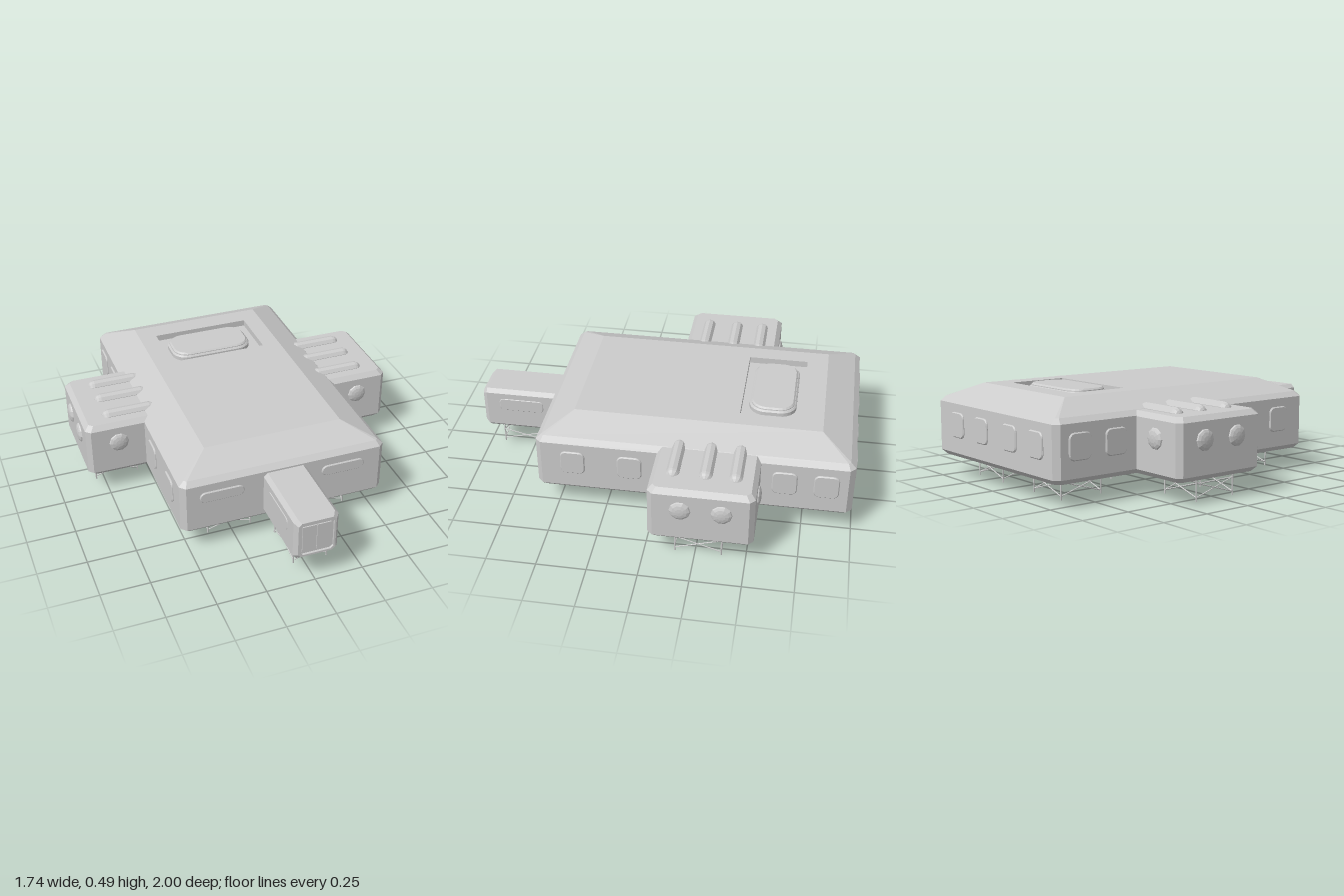
import * as THREE from 'three';

const mat = new THREE.MeshStandardMaterial({ color: 0xcccccc, flatShading: true, side: THREE.DoubleSide });

function add(parent, name, geometry, x = 0, y = 0, z = 0) {
  const mesh = new THREE.Mesh(geometry, mat);
  mesh.name = name;
  mesh.position.set(x, y, z);
  parent.add(mesh);
  return mesh;
}

// Stack of corner-cut rectangles; each ring is [y, halfWidth, halfDepth, cornerCut, centreZ]
function loft(rings) {
  const pos = [], index = [];
  for (const [y, w, d, c, cz = 0] of rings) {
    const pts = [[w, d - c], [w, c - d], [w - c, -d], [c - w, -d], [-w, c - d], [-w, d - c], [c - w, d], [w - c, d]];
    for (const [x, z] of pts) pos.push(x, y, z + cz);
  }
  const last = (rings.length - 1) * 8;
  for (let r = 0; r < last; r += 8) {
    for (let i = 0; i < 8; i++) {
      const a = r + i, b = r + (i + 1) % 8;
      index.push(a, b, b + 8, a, b + 8, a + 8);
    }
  }
  for (let i = 1; i < 7; i++) {
    index.push(0, i + 1, i, last, last + i, last + i + 1);
  }
  const g = new THREE.BufferGeometry();
  g.setAttribute('position', new THREE.Float32BufferAttribute(pos, 3));
  g.setIndex(index);
  const flat = g.toNonIndexed();
  flat.computeVertexNormals();
  return flat;
}

// Raised rounded panel facing +z, with a bevelled rim
function panel(w, h, r, depth, bevel) {
  const x = w / 2 - bevel, y = h / 2 - bevel;
  r = Math.min(r, x, y);
  const s = new THREE.Shape();
  s.absarc(x - r, y - r, r, 0, Math.PI / 2);
  s.absarc(r - x, y - r, r, Math.PI / 2, Math.PI);
  s.absarc(r - x, r - y, r, Math.PI, Math.PI * 1.5);
  s.absarc(x - r, r - y, r, Math.PI * 1.5, Math.PI * 2);
  return new THREE.ExtrudeGeometry(s, {
    depth: depth - bevel, bevelEnabled: true, bevelSize: bevel, bevelThickness: bevel, bevelSegments: 1, curveSegments: 3,
  });
}

// Thin bar between two points
function bar(parent, name, a, b, radius) {
  const p = new THREE.Vector3(...a), q = new THREE.Vector3(...b);
  const dir = q.clone().sub(p);
  const mesh = add(parent, name, new THREE.CylinderGeometry(radius, radius, dir.length(), 6));
  mesh.position.copy(p.add(q).multiplyScalar(0.5));
  mesh.quaternion.setFromUnitVectors(new THREE.Vector3(0, 1, 0), dir.normalize());
}

// Four posts with crossed braces on every side
function stand(parent, x, z, y0, y1, hx = 0.115, hz = 0.115) {
  const g = new THREE.Group();
  g.name = 'supportStand';
  g.position.set(x, 0, z);
  const corners = [[hx, hz], [hx, -hz], [-hx, -hz], [-hx, hz]];
  corners.forEach(([ax, az], i) => {
    const [bx, bz] = corners[(i + 1) % 4];
    const lo = y0 + 0.018, hi = y1 - 0.022;
    bar(g, 'standPost', [ax, y0, az], [ax, y1 + 0.005, az], 0.004);
    bar(g, 'standBrace', [ax, lo, az], [bx, hi, bz], 0.003);
    bar(g, 'standBrace', [ax, hi, az], [bx, lo, bz], 0.003);
  });
  parent.add(g);
}

function porthole(parent, x, y, z, turn) {
  const g = new THREE.SphereGeometry(0.053, 10, 4, 0, Math.PI * 2, 0, Math.PI / 2);
  g.rotateX(Math.PI / 2);
  g.scale(1, 1, 0.36);
  add(parent, 'porthole', g, x, y, z).rotation.y = turn;
}

export function createModel() {
  const root = new THREE.Group();
  root.name = 'stationModule';
  const quarter = Math.PI / 2;

  // Main hull with sloped roof and sunken skylight well
  add(root, 'mainHull', loft([
    [0.11, 0.515, 0.772, 0.02, -0.197],
    [0.135, 0.54, 0.797, 0.028, -0.197],
    [0.39, 0.54, 0.797, 0.028, -0.197],
    [0.415, 0.512, 0.77, 0.012, -0.197],
    [0.484, 0.363, 0.625, 0.001, -0.195],
    [0.484, 0.267, 0.155, 0.0005, -0.555],
    [0.45, 0.267, 0.155, 0.0005, -0.555],
  ]));

  // Skylight: stepped frame and lens
  add(root, 'skylightFrame', panel(0.45, 0.24, 0.075, 0.03, 0.008), -0.005, 0.448, -0.557).rotation.x = -quarter;
  add(root, 'skylightLens', panel(0.43, 0.22, 0.07, 0.042, 0.008), -0.005, 0.448, -0.557).rotation.x = -quarter;

  // Hull windows
  const windowGeo = panel(0.125, 0.13, 0.025, 0.012, 0.005);
  for (const side of [1, -1]) {
    for (const z of [0.41, 0.12, -0.655, -0.86]) {
      add(root, 'sideWindow', windowGeo, side * 0.536, 0.282, z).rotation.y = side * quarter;
    }
  }
  for (const x of [-0.38, -0.155, 0.105, 0.335]) {
    add(root, 'backWindow', windowGeo, x, 0.282, -0.99).rotation.y = Math.PI;
  }
  for (const x of [-0.33, 0.31]) {
    add(root, 'frontSlotWindow', panel(0.23, 0.06, 0.03, 0.012, 0.005), x, 0.317, 0.595);
  }

  // Side pods with portholes and roof ribs
  for (const side of [1, -1]) {
    const pod = new THREE.Group();
    pod.name = side > 0 ? 'leftPod' : 'rightPod';
    root.add(pod);
    add(pod, 'podHull', loft([
      [0.11, 0.185, 0.235, 0.02],
      [0.135, 0.21, 0.258, 0.025],
      [0.388, 0.21, 0.258, 0.025],
      [0.413, 0.185, 0.235, 0.02],
    ]), side * 0.64, 0, -0.278);
    for (const z of [-0.18, -0.38]) porthole(pod, side * 0.849, 0.3, z, side * quarter);
    porthole(pod, side * 0.68, 0.3, -0.021, 0);
    porthole(pod, side * 0.68, 0.3, -0.535, Math.PI);
    for (const z of [-0.125, -0.285, -0.43]) {
      const rib = new THREE.CapsuleGeometry(0.034, 0.22, 4, 10);
      rib.rotateZ(quarter);
      add(pod, 'roofRib', rib, side * 0.595, 0.405, z);
    }
    stand(root, side * 0.677, -0.265, 0, 0.11);
    stand(root, side * 0.257, 0.375, 0, 0.11);
    stand(root, side * 0.257, -0.738, 0, 0.11);
  }
  stand(root, -0.02, -0.265, 0, 0.11);

  // Entrance corridor with sunken end door
  const corridor = new THREE.Group();
  corridor.name = 'entranceCorridor';
  root.add(corridor);
  const tube = loft([
    [0.55, 0.114, 0.118, 0.02],
    [0.978, 0.114, 0.118, 0.02],
    [1.0, 0.096, 0.1, 0.016],
    [1.0, 0.086, 0.09, 0.014],
    [0.988, 0.086, 0.09, 0.014],
  ]);
  tube.rotateX(quarter);
  add(corridor, 'corridorHull', tube, 0, 0.263, 0);
  for (const x of [-0.037, 0.037]) {
    add(corridor, 'doorLeaf', new THREE.BoxGeometry(0.07, 0.15, 0.012), x, 0.258, 0.988);
  }
  for (const side of [1, -1]) {
    add(corridor, 'corridorWindow', panel(0.24, 0.07, 0.02, 0.008, 0.003), side * 0.109, 0.295, 0.79).rotation.y = side * quarter;
  }
  stand(corridor, 0.012, 0.778, 0.045, 0.145, 0.087, 0.122);

  return root;
}
